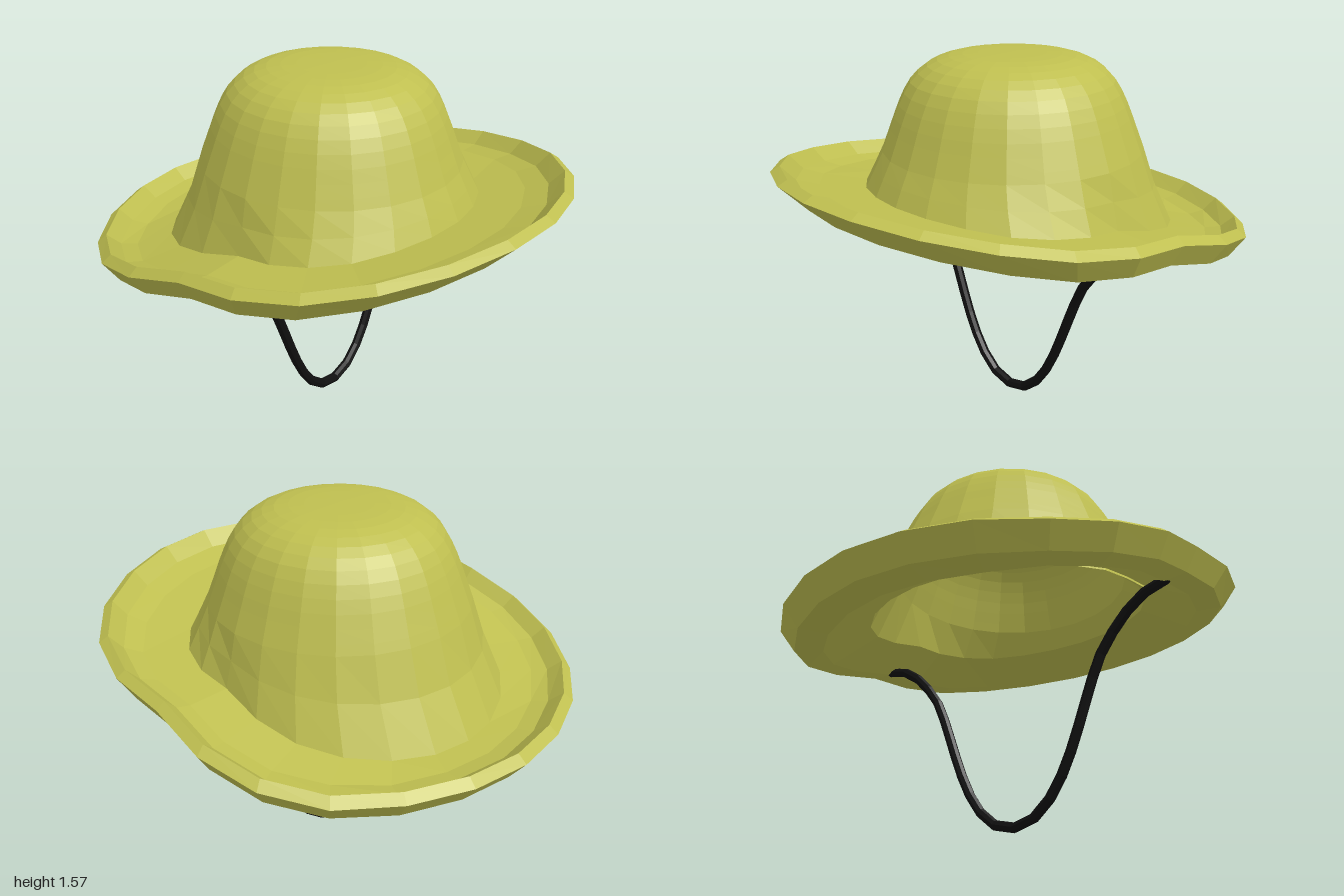
import * as THREE from 'three';

const SIDES = 24;

// Rise of the brim along its length: turned up at the front, dropped at the back
const BEND = [[-1, -0.165], [-0.7, -0.16], [-0.43, -0.11], [0, 0], [0.43, 0.05], [0.85, 0.13], [1, 0.165]];
function bend(z) {
  for (let i = 1; i < BEND.length; i++) {
    const [z0, y0] = BEND[i - 1], [z1, y1] = BEND[i];
    if (z <= z1 || i === BEND.length - 1) return y0 + (y1 - y0) * (z - z0) / (z1 - z0);
  }
}

// Ring: [half width, front reach, back reach, height, how much it follows the brim]
function ringPoint([rx, zf, zb, y, follow], j) {
  const a = (j / SIDES) * Math.PI * 2;
  const s = Math.sin(a), c = Math.cos(a);
  const z = c * (c > 0 ? zf : zb);
  const x = rx * s * (1 + 0.09 * follow * Math.abs(Math.sin(2 * a)));
  return [x, y + follow * bend(z), z];
}

// Skin between successive rings
function loft(rings) {
  const pos = [], index = [];
  for (const r of rings) for (let j = 0; j < SIDES; j++) pos.push(...ringPoint(r, j));
  for (let i = 0; i < rings.length - 1; i++) {
    for (let j = 0; j < SIDES; j++) {
      const k = (j + 1) % SIDES;
      const a = i * SIDES + j, b = i * SIDES + k, c = a + SIDES, d = b + SIDES;
      index.push(a, c, d, a, d, b);
    }
  }
  const g = new THREE.BufferGeometry();
  g.setAttribute('position', new THREE.Float32BufferAttribute(pos, 3));
  g.setIndex(index);
  g.computeVertexNormals();
  return g;
}

// Rings of the dome from its top down, as round sections
function dome(inset) {
  const profile = [[0.001, 1.57], [0.14, 1.568], [0.26, 1.557], [0.35, 1.523], [0.42, 1.46],
    [0.47, 1.37], [0.51, 1.27], [0.545, 1.18]];
  const curve = new THREE.SplineCurve(profile.map(([r, y]) => new THREE.Vector2(r, y)));
  return curve.getPoints(14).map(p => {
    const r = Math.max(0.001, p.x - inset);
    return [r, r, r * 1.02, p.y - inset, 0];
  });
}

export function createModel() {
  const model = new THREE.Group();
  model.name = 'sunHat';
  const fabric = new THREE.MeshStandardMaterial({ color: 0xbfbf50, flatShading: true });
  fabric.name = 'olive yellow fabric';
  const cord = new THREE.MeshStandardMaterial({ color: 0x101010, flatShading: true });
  cord.name = 'black cord';

  const add = (name, geometry, material) => {
    const mesh = new THREE.Mesh(geometry, material);
    mesh.name = name;
    model.add(mesh);
  };

  // Key rings shared by neighbouring parts
  const crownBase = [0.6, 0.61, 0.73, 0.96, 1];
  const rim = [0.915, 1, 1, 0.995, 1];
  const innerBase = [0.56, 0.57, 0.63, 0.99, 1];

  // Crown, flaring into the brim
  add('crown', loft([...dome(0), [0.57, 0.58, 0.62, 1.07, 0.5], crownBase]), fabric);

  // Brim top with its raised lip
  add('brimTop', loft([
    crownBase,
    [0.77, 0.8, 0.83, 0.957, 1],
    [0.83, 0.9, 0.9, 0.972, 1],
    [0.88, 0.96, 0.96, 1.025, 1],
    rim,
  ]), fabric);

  // Brim underside
  add('brimUnderside', loft([
    rim,
    [0.86, 0.88, 0.93, 0.9, 1],
    [0.76, 0.78, 0.8, 0.895, 1],
    innerBase,
  ]), fabric);

  // Crown lining
  add('crownLining', loft([innerBase, ...dome(0.03).reverse()]), fabric);

  // Chin strap, mirrored about the middle
  const half = [[0.76, 0.91], [0.7, 0.9], [0.6, 0.845], [0.52, 0.77], [0.44, 0.665], [0.365, 0.49],
    [0.3, 0.325], [0.245, 0.21], [0.18, 0.115], [0.095, 0.045]];
  const path = [...half.map(([x, y]) => [-x, y]), [0, 0.022], ...half.reverse()]
    .map(([x, y]) => new THREE.Vector3(x, y, 0.015));
  add('chinStrap', new THREE.TubeGeometry(new THREE.CatmullRomCurve3(path), 24, 0.022, 8), cord);

  // Strap ends
  for (const side of [-1, 1]) {
    const cap = new THREE.SphereGeometry(0.022, 8, 6);
    cap.translate(side * 0.76, 0.91, 0.015);
    add(side > 0 ? 'leftStrapEnd' : 'rightStrapEnd', cap, cord);
  }
  return model;
}
